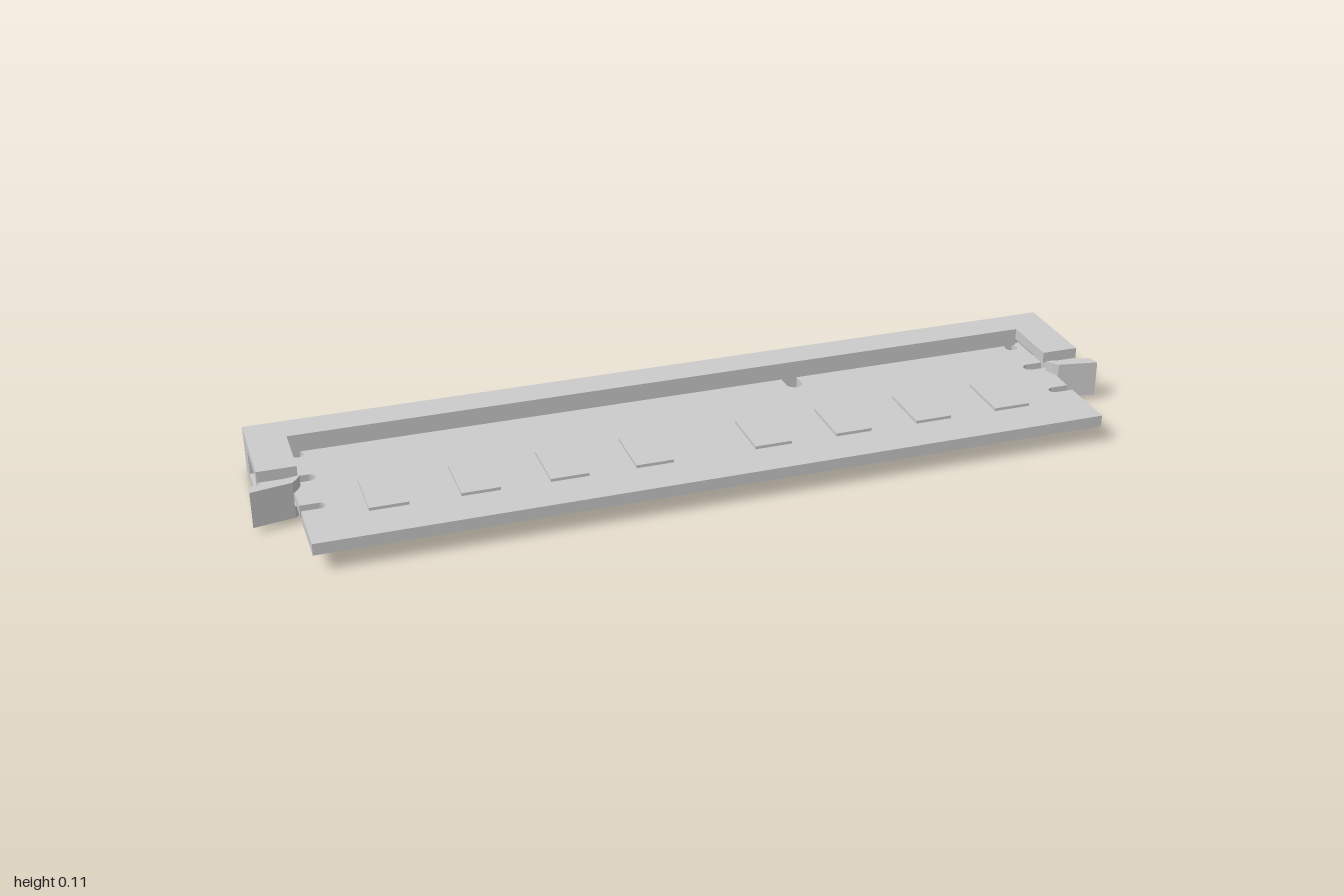
import * as THREE from 'three';

const material = new THREE.MeshStandardMaterial({ color: 0xcccccc, flatShading: true });

function add(parent, name, geometry) {
  const mesh = new THREE.Mesh(geometry, material);
  mesh.name = name;
  parent.add(mesh);
  return mesh;
}

// Box given by its extents on each axis
function box(parent, name, [x0, x1], [y0, y1], [z0, z1]) {
  const mesh = add(parent, name, new THREE.BoxGeometry(Math.abs(x1 - x0), y1 - y0, z1 - z0));
  mesh.position.set((x0 + x1) / 2, (y0 + y1) / 2, (z0 + z1) / 2);
  return mesh;
}

// Flat plate: a plan outline (x, -z) raised from y0 to y1
function plate(parent, name, shape, y0, y1) {
  const geometry = new THREE.ExtrudeGeometry(shape, { depth: y1 - y0, bevelEnabled: false, curveSegments: 8 });
  geometry.rotateX(-Math.PI / 2);
  geometry.translate(0, y0, 0);
  return add(parent, name, geometry);
}

const BOARD_Y = [0.043, 0.07];
const BOARD_X = 0.904;
const HEIGHT = 0.112;

// Circuit board outline with rounded side notches, a key notch and corner holes
function boardShape() {
  const front = -0.245, back = 0.175;
  const notches = [[-0.09, 0.0125], [0.04, 0.0145]]; // centre and radius
  const s = new THREE.Shape();
  s.moveTo(-BOARD_X, front);
  s.lineTo(BOARD_X, front);
  for (const [c, r] of notches) {
    s.lineTo(BOARD_X, c - r);
    s.lineTo(0.85 + r, c - r);
    s.absarc(0.85 + r, c, r, -Math.PI / 2, Math.PI / 2, true);
    s.lineTo(BOARD_X, c + r);
  }
  s.lineTo(BOARD_X, back);
  s.lineTo(0.314, back);
  s.lineTo(0.314, 0.136);
  s.absarc(0.295, 0.136, 0.019, 0, Math.PI, true);
  s.lineTo(0.276, back);
  s.lineTo(-BOARD_X, back);
  for (const [c, r] of [...notches].reverse()) {
    s.lineTo(-BOARD_X, c + r);
    s.lineTo(-0.85 - r, c + r);
    s.absarc(-0.85 - r, c, r, Math.PI / 2, -Math.PI / 2, true);
    s.lineTo(-BOARD_X, c - r);
  }
  for (const side of [-1, 1]) {
    s.holes.push(new THREE.Path().absarc(side * 0.873, 0.155, 0.015, 0, Math.PI * 2));
  }
  return s;
}

// Socket layer: a U open to the front; wallBack limits how far the arms reach
function socketShape(inner, pocketZ) {
  const X = 0.977, back = 0.244, front = 0.022;
  const points = pocketZ
    ? [[-X, back], [-X, pocketZ], [-inner, pocketZ], [-inner, 0.167], [inner, 0.167], [inner, pocketZ], [X, pocketZ], [X, back]]
    : [[-X, back], [-X, front], [-inner, front], [-inner, 0.167], [inner, 0.167], [inner, front], [X, front], [X, back]];
  return new THREE.Shape(points.map(([x, y]) => new THREE.Vector2(x, y)));
}

export function createModel() {
  const model = new THREE.Group();
  model.name = 'memoryModuleInSocket';

  // Socket: solid layers above and below a pocketed middle layer
  const socket = new THREE.Group();
  socket.name = 'socket';
  model.add(socket);
  plate(socket, 'socketBottom', socketShape(0.89), 0, 0.029);
  plate(socket, 'socketMiddle', socketShape(0.89, 0.175), 0.029, 0.086);
  plate(socket, 'socketTop', socketShape(0.89), 0.086, HEIGHT);

  // Circuit board
  plate(model, 'circuitBoard', boardShape(), ...BOARD_Y);

  // Chips on both faces, four in each half
  const chips = new THREE.Group();
  chips.name = 'chips';
  model.add(chips);
  for (const side of [-1, 1]) {
    for (const x of [0.138, 0.331, 0.527, 0.725]) {
      const span = [side * x - 0.043, side * x + 0.043];
      box(chips, 'upperChip', span, [BOARD_Y[1], 0.077], [0.01, 0.146]);
      box(chips, 'lowerChip', span, [0.036, BOARD_Y[0]], [0.01, 0.146]);
    }
  }

  // Retaining latches at both ends
  for (const side of [-1, 1]) {
    const latch = new THREE.Group();
    latch.name = side > 0 ? 'leftLatch' : 'rightLatch';
    model.add(latch);
    const outline = (points) => new THREE.Shape(points.map(([x, z]) => new THREE.Vector2(side * x, -z)));

    // Arm running into the socket pocket
    plate(latch, 'latchArm', outline([[0.906, -0.095], [0.973, -0.095], [0.973, -0.02], [0.965, 0.012], [0.906, 0.003]]), 0.03, 0.083);
    // Slanted thumb lever
    plate(latch, 'latchLever', outline([[0.907, 0], [0.995, 0.015], [1, 0.042], [0.907, 0.025]]), 0.014, 0.099);
    // Prongs gripping the board from above and below
    for (const [y0, y1] of [[0.014, 0.04], [0.073, 0.099]]) {
      plate(latch, 'latchProng', outline([[0.888, -0.004], [0.907, 0], [0.907, 0.025], [0.896, 0.012]]), y0, y1);
    }
  }
  return model;
}
